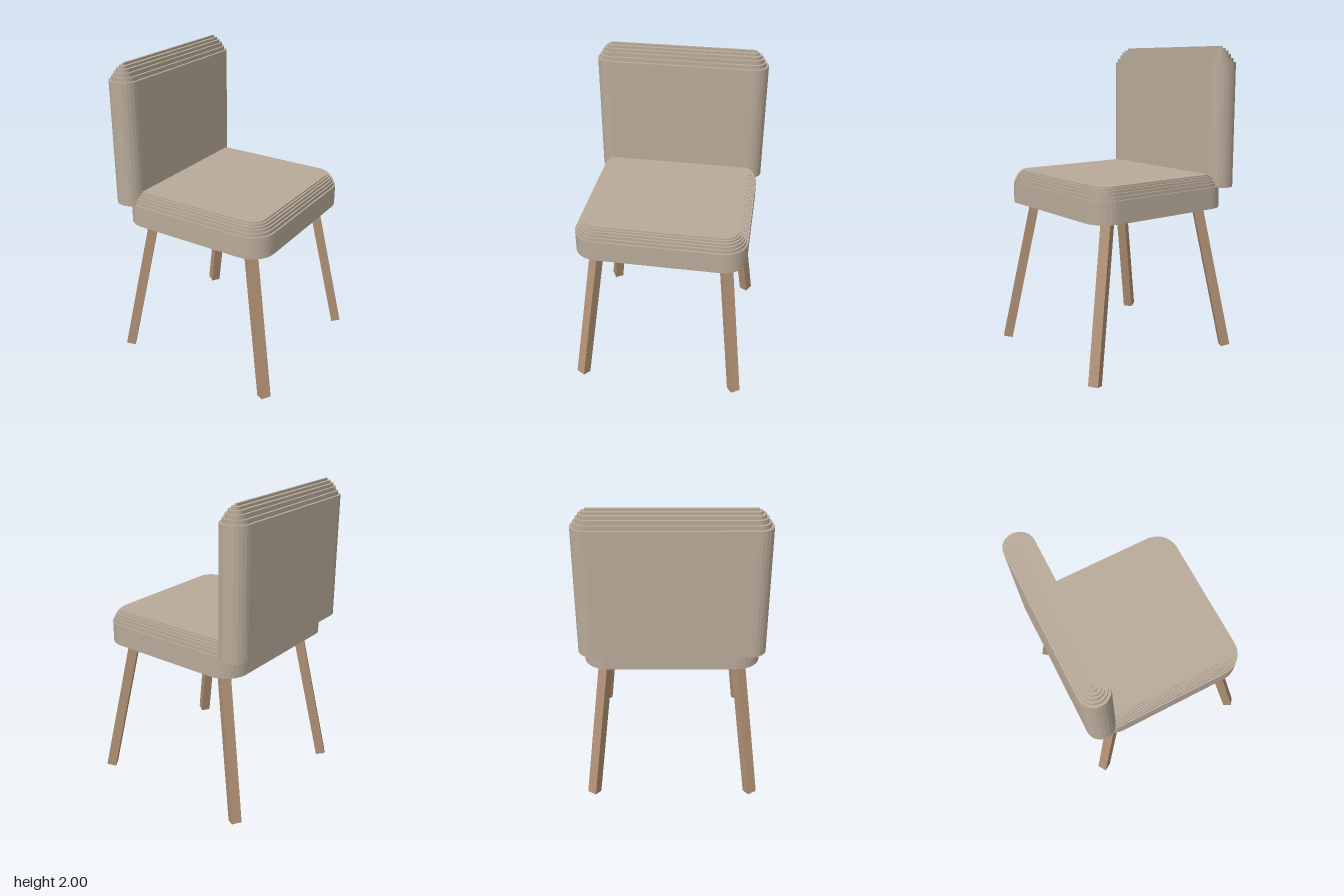
import * as THREE from 'three';

const fabric = new THREE.MeshStandardMaterial({ name: 'taupe fabric', color: 0xb8aa99 });
const wood = new THREE.MeshStandardMaterial({ name: 'light wood', color: 0xb09074 });

// Rounded rectangle outline, inset keeps the corner centres in place
function outline(halfX, halfZ, radius, inset) {
  const r = radius - inset, x = halfX - radius, z = halfZ - radius;
  const shape = new THREE.Shape();
  shape.absarc(x, z, r, 0, Math.PI / 2);
  shape.absarc(-x, z, r, Math.PI / 2, Math.PI);
  shape.absarc(-x, -z, r, Math.PI, Math.PI * 1.5);
  shape.absarc(x, -z, r, Math.PI * 1.5, Math.PI * 2);
  return shape;
}

// Cushion made of a straight wall with a terraced, rounded top
function cushion(name, { halfX, halfZ, radius, segments, bottom, tops, insets }) {
  const group = new THREE.Group();
  group.name = name;
  tops.forEach((top, i) => {
    const from = i ? tops[i - 1] : bottom;
    const geo = new THREE.ExtrudeGeometry(outline(halfX, halfZ, radius, insets[i]), {
      depth: top - from, bevelEnabled: false, curveSegments: segments,
    });
    geo.rotateX(-Math.PI / 2).translate(0, from, 0);
    const mesh = new THREE.Mesh(geo, fabric);
    mesh.name = i ? `${name}Step${i}` : `${name}Wall`;
    group.add(mesh);
  });
  return group;
}

// Square leg splayed outwards along the line from foot to head
function leg(name, sx, sz) {
  const foot = new THREE.Vector3(sx * 0.545, 0.0065, sz * 0.52);
  const head = new THREE.Vector3(sx * 0.364, 0.99, sz * 0.409);
  const up = head.clone().sub(foot);
  const length = up.length();
  up.normalize();
  const side = new THREE.Vector3(up.z, 0, -up.x).normalize();
  const out = up.clone().cross(side);
  const geo = new THREE.BoxGeometry(0.062, length, 0.064);
  geo.translate(0, length / 2, 0);
  const mesh = new THREE.Mesh(geo, wood);
  mesh.name = name;
  mesh.quaternion.setFromRotationMatrix(new THREE.Matrix4().makeBasis(out, up, side));
  mesh.position.copy(foot);
  return mesh;
}

export function createModel() {
  const chair = new THREE.Group();
  chair.name = 'chair';

  chair.add(cushion('seat', {
    halfX: 0.52, halfZ: 0.543, radius: 0.15, segments: 4, bottom: 0.97,
    tops: [1.11, 1.132, 1.15, 1.165, 1.177, 1.186],
    insets: [0, 0.011, 0.021, 0.032, 0.045, 0.058],
  }));

  const backrest = cushion('backrest', {
    halfX: 0.095, halfZ: 0.565, radius: 0.094, segments: 3, bottom: 1.1,
    tops: [1.9, 1.925, 1.95, 1.97, 1.986, 2],
    insets: [0, 0.017, 0.033, 0.048, 0.067, 0.088],
  });
  backrest.position.x = -0.494;
  chair.add(backrest);

  for (const sx of [1, -1]) {
    for (const sz of [1, -1]) {
      chair.add(leg(`${sz > 0 ? 'front' : 'back'}${sx > 0 ? 'Left' : 'Right'}Leg`, sx, sz));
    }
  }
  return chair;
}
